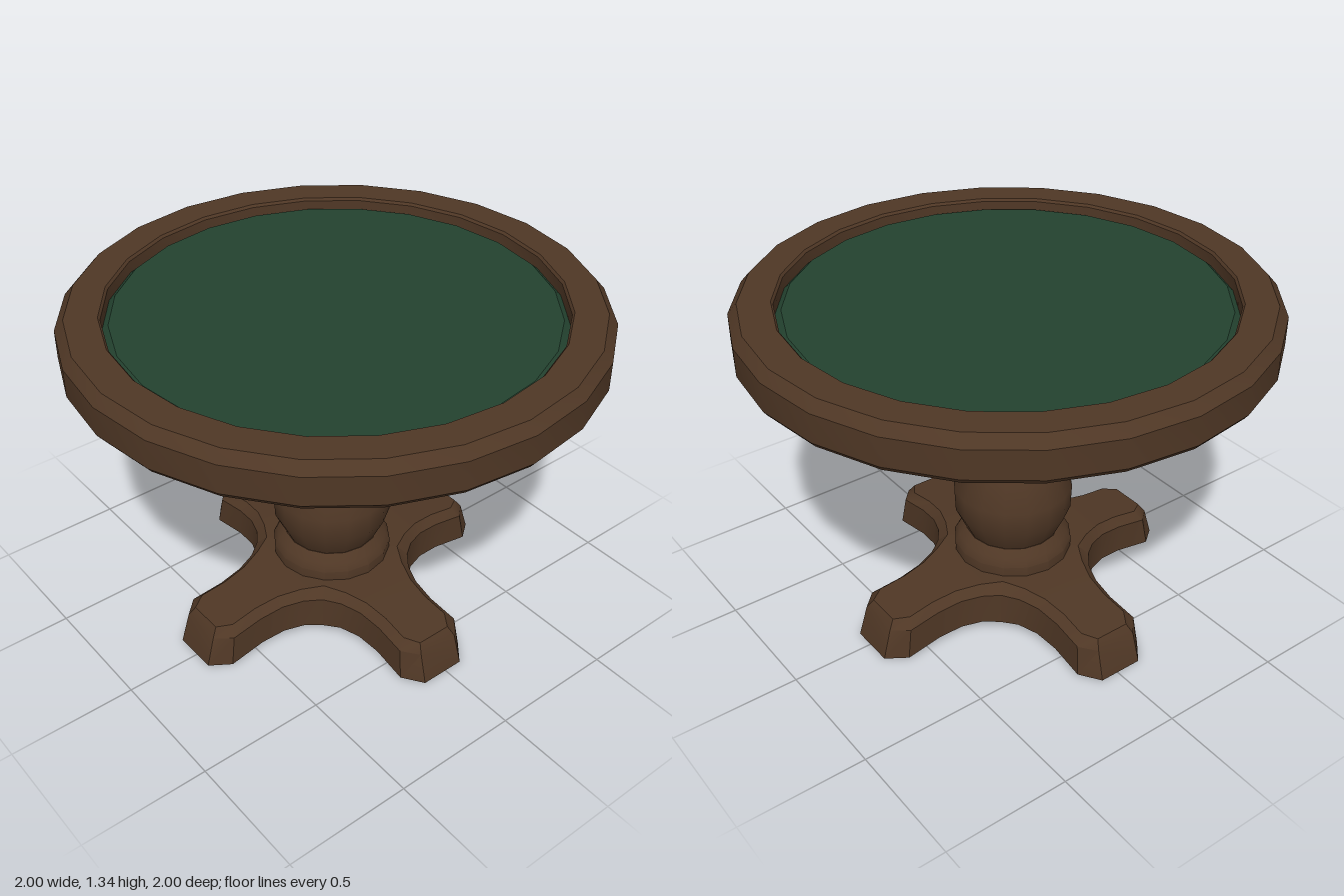
import * as THREE from 'three';
import { toCreasedNormals } from 'three/addons/utils/BufferGeometryUtils.js';

const wood = new THREE.MeshStandardMaterial({ color: 0x4f3725 });
wood.name = 'dark wood';
const felt = new THREE.MeshStandardMaterial({ color: 0x23422f });
felt.name = 'green felt';

// Turned part from a [radius, height] profile, listed upwards along the outside
function turned(name, profile, sides, material, crease = 0.6) {
  const points = profile.map(([r, y]) => new THREE.Vector2(r, y));
  const geometry = toCreasedNormals(new THREE.LatheGeometry(points, sides), crease);
  const mesh = new THREE.Mesh(geometry, material);
  mesh.name = name;
  return mesh;
}

// One foot arm along +z; each station holds top, shoulder and bottom as [reach, half width, height]
function footGeometry() {
  const stations = [
    [[0, 0, 0.215], [0, 0, 0.18], [0, 0, 0.05]],
    [[0.19, 0.19, 0.215], [0.22, 0.22, 0.18], [0.225, 0.225, 0.05]],
    [[0.27, 0.145, 0.21], [0.28, 0.175, 0.175], [0.28, 0.18, 0.05]],
    [[0.36, 0.112, 0.2], [0.36, 0.145, 0.168], [0.36, 0.15, 0.045]],
    [[0.46, 0.1, 0.187], [0.46, 0.134, 0.155], [0.46, 0.14, 0.035]],
    [[0.57, 0.105, 0.172], [0.59, 0.14, 0.138], [0.61, 0.15, 0.018]],
    [[0.625, 0.07, 0.165], [0.65, 0.085, 0.13], [0.685, 0.09, 0.01]],
  ];
  const positions = [];
  const index = [];
  for (const [top, side, bottom] of stations) {
    for (const [r, w, y] of [bottom, side, top]) positions.push(w, y, r);
    for (const [r, w, y] of [top, side, bottom]) positions.push(-w, y, r);
  }
  // Skin between neighbouring sections
  for (let s = 0; s < stations.length - 1; s++) {
    for (let k = 0; k < 6; k++) {
      const a = s * 6 + k;
      const b = s * 6 + ((k + 1) % 6);
      index.push(a, b, a + 6, b, b + 6, a + 6);
    }
  }
  // Toe end
  const e = (stations.length - 1) * 6;
  index.push(e, e + 1, e + 4, e, e + 4, e + 5, e + 1, e + 2, e + 3, e + 1, e + 3, e + 4);
  const geometry = new THREE.BufferGeometry();
  geometry.setAttribute('position', new THREE.Float32BufferAttribute(positions, 3));
  geometry.setIndex(index);
  return toCreasedNormals(geometry, 0.5);
}

export function createModel() {
  const model = new THREE.Group();
  model.name = 'round table';

  // Table top: wooden rim around a recessed felt slab
  model.add(turned('rim', [
    [0.87, 1.18], [0.985, 1.18], [1, 1.2], [1, 1.31], [0.965, 1.35],
    [0.845, 1.35], [0.837, 1.34], [0.835, 1.28],
  ], 24, wood, 0.5));
  model.add(turned('feltSurface', [
    [0, 1.18], [0.872, 1.18], [0.86, 1.29], [0.835, 1.295], [0.812, 1.315], [0, 1.315],
  ], 24, felt, 0.5));

  const pedestal = new THREE.Group();
  pedestal.name = 'pedestal';
  pedestal.position.set(-0.012, 0, 0.015);
  model.add(pedestal);

  // Turned column, from the top down
  pedestal.add(turned('topSpacer', [[0.3, 1.15], [0.3, 1.19]], 16, felt));
  pedestal.add(turned('bowl', [
    [0.12, 0.965], [0.14, 0.972], [0.205, 1.01], [0.265, 1.065], [0.335, 1.155], [0, 1.16],
  ], 12, wood));
  pedestal.add(turned('upperBulb', [
    [0.14, 0.72], [0.15, 0.735], [0.195, 0.768], [0.203, 0.83], [0.19, 0.91], [0.137, 0.968], [0, 0.97],
  ], 16, wood));
  pedestal.add(turned('vase', [
    [0.18, 0.3], [0.19, 0.32], [0.232, 0.41], [0.236, 0.51], [0.19, 0.62], [0.145, 0.72], [0, 0.722],
  ], 16, wood));
  pedestal.add(turned('collar', [
    [0.235, 0.19], [0.237, 0.255], [0.22, 0.285], [0.188, 0.312], [0, 0.314],
  ], 16, wood));

  // Four feet forming a cross
  const foot = footGeometry();
  for (let i = 0; i < 4; i++) {
    const mesh = new THREE.Mesh(foot, wood);
    mesh.name = 'foot' + (i + 1);
    mesh.rotation.y = (i * Math.PI) / 2;
    pedestal.add(mesh);
  }
  return model;
}
